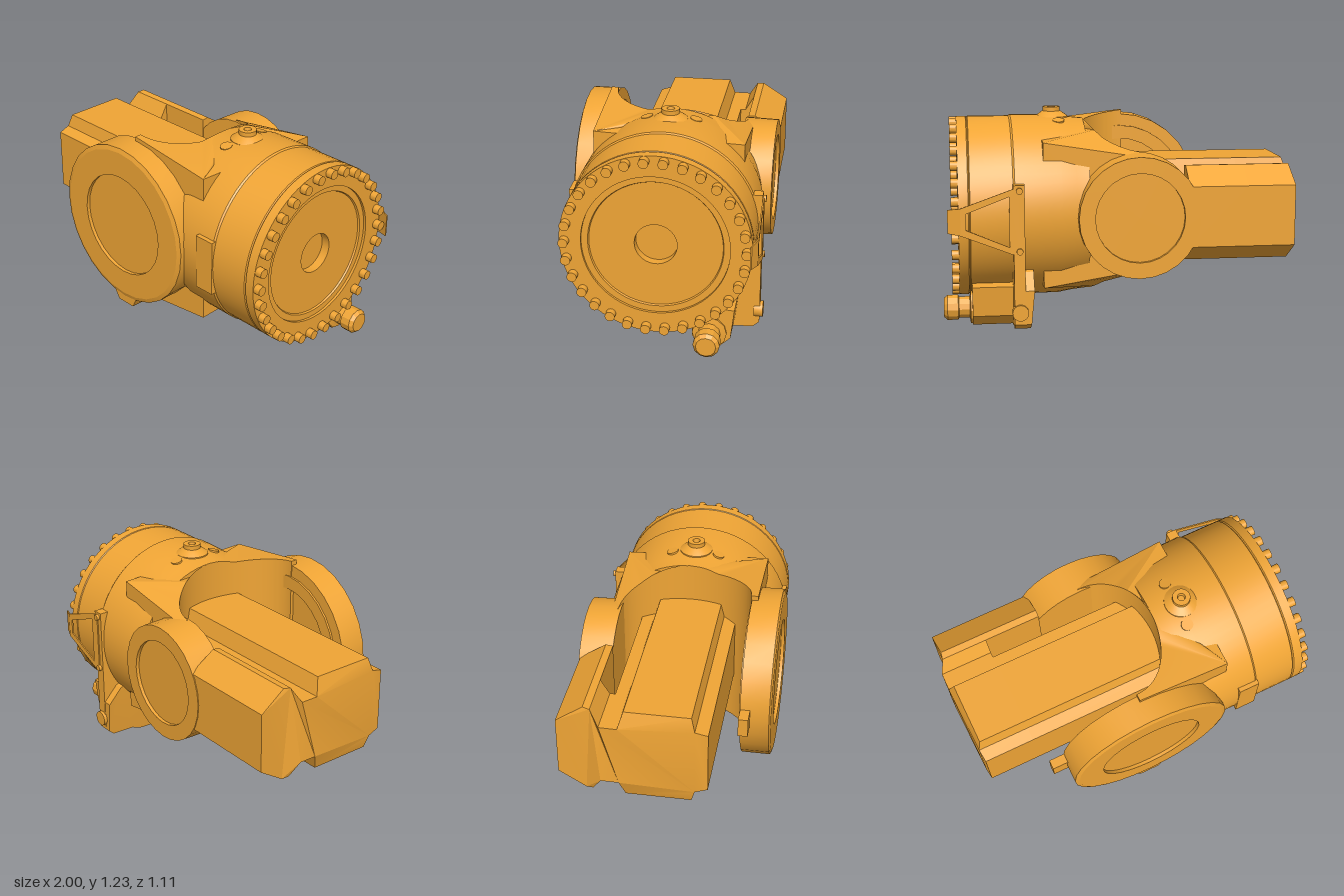
import * as THREE from 'three';
import { toCreasedNormals } from 'three/addons/utils/BufferGeometryUtils.js';

const CY = 0.665; // height of the main axis
const paint = new THREE.MeshStandardMaterial({ color: 0xf0a535, side: THREE.DoubleSide });
const V = (p) => p.map(([a, b]) => new THREE.Vector2(a, b));

export function createModel() {
  const model = new THREE.Group();

  const add = (name, geo, x = 0, y = 0, z = 0, parent = model) => {
    const mesh = new THREE.Mesh(toCreasedNormals(geo, 0.3), paint);
    mesh.name = name;
    mesh.position.set(x, y, z);
    parent.add(mesh);
    return mesh;
  };
  const box = (name, x0, x1, y0, y1, z0, z1) =>
    add(name, new THREE.BoxGeometry(x1 - x0, y1 - y0, z1 - z0), (x0 + x1) / 2, (y0 + y1) / 2, (z0 + z1) / 2);
  // turned parts: profile of [radius, position along axis]
  const latheX = (pts, n) => new THREE.LatheGeometry(V(pts), n).rotateZ(-Math.PI / 2);
  const latheZ = (pts, n, dir) => new THREE.LatheGeometry(V(pts), n).rotateX(dir * Math.PI / 2);
  // section given as [z, y], extruded from x0 to x1
  const extrudeX = (pts, x0, x1) =>
    new THREE.ExtrudeGeometry(new THREE.Shape(V(pts.map(([z, y]) => [-z, y]))), { depth: x1 - x0, bevelEnabled: false })
      .rotateY(Math.PI / 2).translate(x0, 0, 0);
  // upper half of a section mirrored about the main axis
  const mirrored = (half) => [
    ...half.map(([z, h]) => [z, CY + h]),
    ...half.slice().reverse().map(([z, h]) => [z, CY - h]),
  ];
  // move every vertex of a geometry by a rule
  const warp = (geo, rule) => {
    const p = geo.attributes.position;
    for (let i = 0; i < p.count; i++) p.setXYZ(i, ...rule(p.getX(i), p.getY(i), p.getZ(i)));
    geo.computeVertexNormals();
    return geo;
  };

  // Main drum with recessed end face and bore
  add('drum', latheX([
    [0, 0.183], [0.5, 0.183], [0.508, 0.26], [0.522, 0.34], [0.525, 0.6], [0.518, 0.61], [0.518, 0.845],
    [0.511, 0.85], [0.518, 0.856], [0.518, 0.91], [0.4, 0.91], [0.4, 0.895], [0.365, 0.895],
    [0.36, 0.885], [0.115, 0.885], [0.115, 0.835], [0, 0.835],
  ], 64), 0, CY, 0);

  // Ring of flange bolts
  const bolts = new THREE.Group();
  bolts.name = 'flangeBolts';
  model.add(bolts);
  const boltGeo = new THREE.CylinderGeometry(0.027, 0.027, 0.06, 24).rotateZ(Math.PI / 2);
  for (let i = 0; i < 30; i++) {
    const a = (i / 30) * Math.PI * 2;
    add('flangeBolt', boltGeo, 0.92, CY + 0.489 * Math.sin(a), 0.489 * Math.cos(a), bolts);
  }

  // Fork body: plan outline with rounded throat
  const plan = new THREE.Shape();
  plan.moveTo(-0.1, 0.42);
  plan.lineTo(-0.1, 0.38);
  plan.absellipse(-0.1, 0, 0.28, 0.38, Math.PI / 2, -Math.PI / 2, true);
  plan.lineTo(-0.1, -0.42);
  plan.lineTo(0.44, -0.42);
  plan.lineTo(0.44, 0.42);
  const fork = new THREE.ExtrudeGeometry(plan, { depth: 2, bevelEnabled: false, curveSegments: 32 })
    .rotateX(-Math.PI / 2).translate(0, -1, 0);
  // half height blends from the tall front cheek to the low back cheek, never below the drum
  add('forkBody', warp(fork, (x, y, z) => {
    const front = 0.5 - 0.12 * (x + 0.05);
    const back = 0.41 - 0.16 * (0.44 - x);
    const cheek = back + (front - back) * Math.min(1, (z + 0.42) / 0.3);
    return [x, y * Math.max(cheek, Math.sqrt(0.25 - z * z)), z];
  }), 0, CY, 0);

  // Large front bearing cover, shallow recesses on both faces
  add('frontCover', latheZ([
    [0, 0.4], [0.33, 0.4], [0.33, 0.372], [0.41, 0.372], [0.41, 0.384], [0.48, 0.384], [0.48, 0.546],
    [0.455, 0.555], [0.305, 0.555], [0.305, 0.535], [0, 0.535],
  ], 28, 1), -0.085, CY, 0);
  box('coverTab', -0.65, -0.54, 0.61, 0.72, 0.385, 0.44);
  add('coverFoot', new THREE.ExtrudeGeometry(
    new THREE.Shape(V([[-0.19, 0.22], [-0.14, 0.14], [-0.02, 0.14], [0.02, 0.22]])),
    { depth: 0.165, bevelEnabled: false }), 0, 0, 0.38);

  // Smaller back bearing cover
  add('backCover', latheZ([
    [0, 0.365], [0.345, 0.365], [0.34, 0.555], [0.25, 0.555], [0.25, 0.535], [0, 0.535],
  ], 28, -1), -0.085, CY, 0);

  // Gear housing: joined end block, back arm and middle block
  const housing = new THREE.Group();
  housing.name = 'gearHousing';
  model.add(housing);
  const backHalf = [[-0.55, 0.17], [-0.4, 0.27], [-0.36, 0.265]];
  const middleHalf = [[-0.21, 0.18], [-0.18, 0.275], [0.18, 0.275], [0.2, 0.2], [0.27, 0.18]];
  const endGeo = extrudeX(mirrored([...backHalf, [-0.31, 0.18], ...middleHalf]), -1, -0.69);
  // bevel the outer end toward its edges
  add('housingEnd', warp(endGeo, (x, y, z) => {
    if (x > -0.9) return [x, y, z];
    const rim = 0.33 * Math.max(0, Math.abs(y - CY) - 0.17);
    return [x + rim + 0.17 * Math.max(0, -z - 0.3) + 0.2 * Math.max(0, z - 0.18), y, z];
  }), 0, 0, 0, housing);
  add('housingBackArm', extrudeX(mirrored(backHalf), -0.69, -0.36), 0, 0, 0, housing);
  add('housingMiddle', extrudeX(mirrored([[-0.28, 0.18], ...middleHalf]), -0.69, 0.2), 0, 0, 0, housing);

  // Side pad on the drum
  box('sidePad', 0.49, 0.612, 0.505, 0.825, 0.45, 0.525);

  // Top fitting with a hollow neck, and two small plugs beside it
  add('topFitting', new THREE.LatheGeometry(V([
    [0.1, 1.13], [0.095, 1.18], [0.055, 1.208], [0.05, 1.21], [0.05, 1.235], [0.022, 1.235], [0.018, 1.215], [0, 1.215],
  ]), 24), 0.36, 0, 0);
  for (const s of [-1, 1])
    add('topPlug', new THREE.CylinderGeometry(0.034, 0.034, 0.06, 24).rotateX(s * 0.26), 0.33, 1.142, s * 0.13);

  // Lower bracket with slanted rear side, and its forward arm
  const bracket = extrudeX([
    [0.14, 0.2], [0.11, 0.14], [0.035, 0.02], [0, 0.003], [-0.3, 0.02], [-0.36, 0.045], [-0.5, 0.05],
    [-0.535, 0.08], [-0.535, 0.27], [-0.45, 0.36], [-0.3, 0.42],
  ], 0.53, 0.612);
  add('lowerBracket', warp(bracket, (x, y, z) => [x < 0.55 ? x - 0.15 * Math.min(y, 0.2) : x, y, z]));
  add('bracketArm', extrudeX([
    [-0.19, 0.22], [-0.19, 0.1], [-0.24, 0.035], [-0.33, 0.035], [-0.4, 0.1], [-0.42, 0.27], [-0.32, 0.28],
  ], 0.6, 0.84));
  box('uprightStrip', 0.55, 0.612, 0.1, 0.86, -0.538, -0.42);

  // Lower plug with faceted head
  add('lowerPlug', latheX([
    [0.095, 0.6], [0.095, 0.85], [0.062, 0.855], [0.062, 0.915], [0.073, 0.92], [0.073, 0.98], [0.055, 1], [0, 1],
  ], 12), 0, 0.128, -0.285);

  // Thin triangular cable guard with a window, tip bent inward
  const guard = new THREE.Shape(V([
    [0.58, 0.48], [0.62, 0.48], [0.9, 0.59], [0.97, 0.6], [0.97, 0.73], [0.9, 0.74], [0.62, 0.84], [0.58, 0.84],
  ]));
  guard.holes.push(new THREE.Path(V([[0.635, 0.52], [0.635, 0.8], [0.87, 0.71], [0.87, 0.62]])));
  const guardGeo = new THREE.ExtrudeGeometry(guard, { depth: 0.008, bevelEnabled: false });
  add('cableGuard', warp(guardGeo, (x, y, z) => [x, y, z + 0.4 * Math.max(0, x - 0.9)]), 0, 0, -0.545);

  // Bolts on the back strip
  for (const [y, r] of [[0.83, 0.018], [0.495, 0.018], [0.15, 0.045]])
    add('stripBolt', new THREE.CylinderGeometry(r, r, 0.05, 24).rotateX(Math.PI / 2), 0.58, y, -0.53);

  return model;
}
